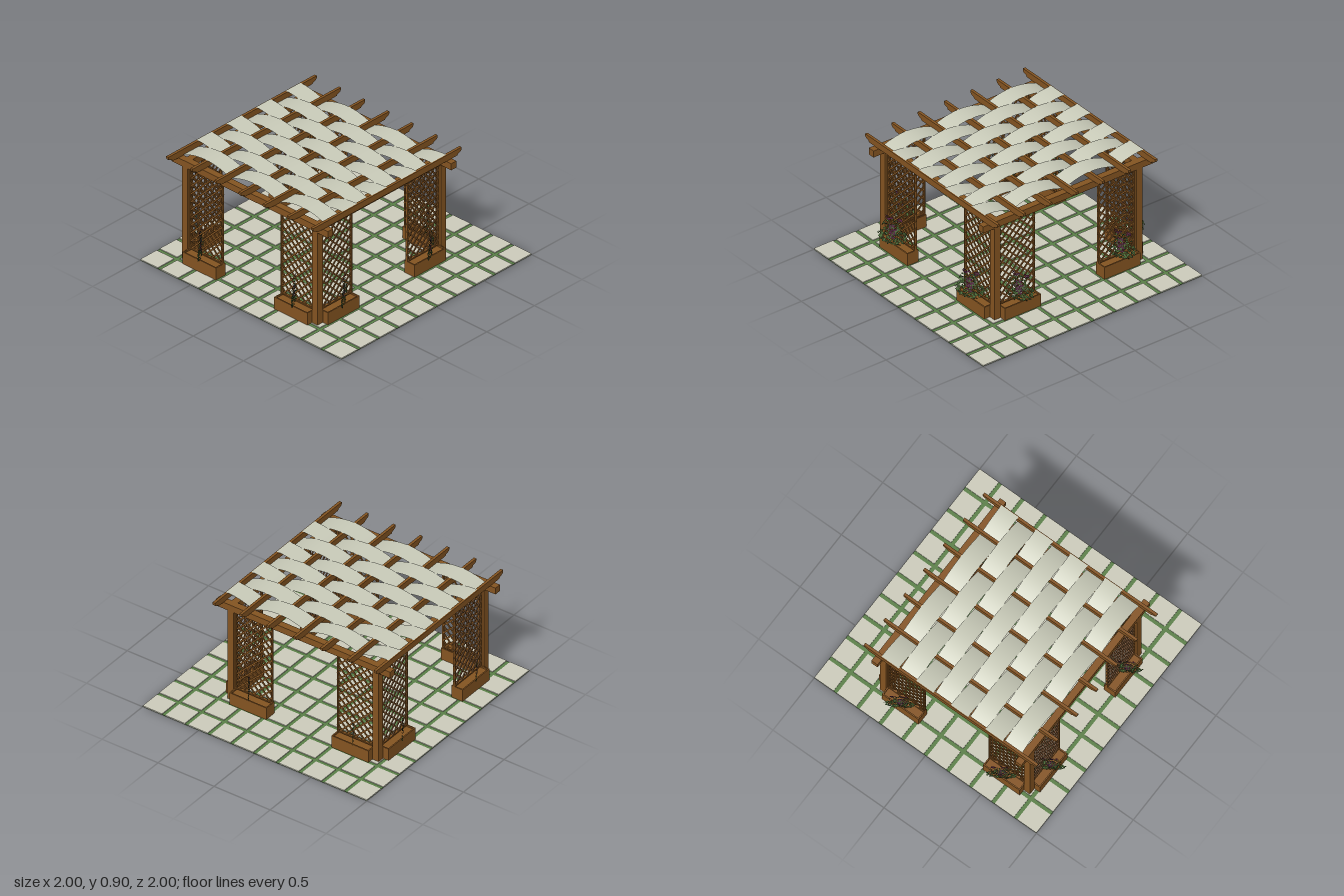
import * as THREE from 'three';
import { mergeGeometries } from 'three/addons/utils/BufferGeometryUtils.js';

const mat = (name, color, double) => {
  const m = new THREE.MeshStandardMaterial({ color });
  m.name = name;
  if (double) m.side = THREE.DoubleSide;
  return m;
};
const wood = mat('wood', 0x845421);
const stone = mat('paving stone', 0xcccbbb);
const grass = mat('grass', 0x5a7f47);
const cloth = mat('cloth', 0xc9cbb9, true);
const leafGreen = mat('leaf green', 0x55783f, true);
const darkGreen = mat('dark leaf green', 0x2f4424, true);
const purple = mat('flower purple', 0x5c2748, true);

const box = (w, h, d, x, y, z) => new THREE.BoxGeometry(w, h, d).translate(x, y, z);
const mesh = (name, geo, material) => {
  const m = new THREE.Mesh(geo, material);
  m.name = name;
  return m;
};

// Square paving on a thin lawn
function paving() {
  const g = new THREE.Group();
  g.name = 'paving';
  g.add(mesh('lawn', box(2, 0.004, 2, 0, 0.002, 0), grass));
  const tiles = [], size = 0.173, pitch = (2 - size) / 9;
  for (let i = 0; i < 10; i++)
    for (let j = 0; j < 10; j++)
      tiles.push(box(size, 0.008, size, -1 + size / 2 + i * pitch, 0.006, -1 + size / 2 + j * pitch));
  g.add(mesh('pavingStones', mergeGeometries(tiles), stone));
  return g;
}

// Diagonal lattice clipped to a rectangle, with a thin frame
function latticeGeometry(w, h) {
  const parts = [], pitch = 0.066, bar = 0.012;
  for (let c = -h + pitch / 2; c < w; c += pitch) {
    const x0 = Math.max(0, c), x1 = Math.min(w, h + c);
    const len = (x1 - x0) * Math.SQRT2;
    if (len < 0.015) continue;
    const mx = (x0 + x1) / 2 - w / 2, my = (x0 + x1) / 2 - c - h / 2;
    for (const s of [1, -1])
      parts.push(new THREE.BoxGeometry(len, bar, 0.007).rotateZ(s * Math.PI / 4).translate(s * mx, my, s * 0.0035));
  }
  for (const s of [1, -1]) {
    parts.push(box(0.01, h, 0.02, s * (w / 2 - 0.005), 0, 0));
    parts.push(box(w, 0.01, 0.02, 0, s * (h / 2 - 0.005), 0));
  }
  return mergeGeometries(parts);
}

// Planter box with a slightly sunken top
function planterGeometry() {
  const w = 0.33, d = 0.1, t = 0.01, parts = [box(w - 2 * t, 0.09, d - 2 * t, 0, 0.053, 0)];
  for (const s of [1, -1]) {
    parts.push(box(w, 0.102, t, 0, 0.059, s * (d - t) / 2));
    parts.push(box(t, 0.102, d - 2 * t, s * (w - t) / 2, 0.059, 0));
  }
  return mergeGeometries(parts);
}

// Rafter running along z, with scroll-cut ends
function rafterGeometry() {
  const half = [[0.70, 0.845], [0.735, 0.846], [0.742, 0.858], [0.758, 0.862], [0.772, 0.868], [0.78, 0.88], [0.78, 0.896]];
  const pts = [...half, ...half.map(([a, b]) => [-a, b]).reverse()];
  const s = new THREE.Shape(pts.map(([a, b]) => new THREE.Vector2(a, b)));
  return new THREE.ExtrudeGeometry(s, { depth: 0.022, bevelEnabled: false })
    .translate(0, 0, -0.011).rotateY(Math.PI / 2);
}

// Cloth strip arching over every second rafter
function clothGeometry(width, phase) {
  const g = new THREE.PlaneGeometry(1.45, width, 96, 1).rotateX(-Math.PI / 2);
  const p = g.attributes.position;
  for (let i = 0; i < p.count; i++) {
    const t = (p.getX(i) + 0.72) / 0.48 + phase;
    const u = 2 * (t - Math.round(t));
    p.setY(i, 0.844 + 0.055 * (1 - u * u));
  }
  g.computeVertexNormals();
  return g;
}

// Flat flowering plant made of small leaf blades
function plantParts() {
  let seed = 7;
  const rnd = () => (seed = (seed * 16807) % 2147483647) / 2147483647;
  const blades = (n, cx, cy, rx, ry, len, front) => {
    const out = [];
    for (let i = 0; i < n; i++) {
      const a = rnd() * Math.PI * 2, r = Math.sqrt(rnd());
      out.push(new THREE.CircleGeometry(len * (0.7 + 0.5 * rnd()), 4).scale(1, 0.5, 1)
        .rotateZ(rnd() * Math.PI)
        .translate(cx + rx * r * Math.cos(a), cy + ry * r * Math.sin(a), (rnd() - 0.5) * 0.006 * front));
    }
    return out;
  };
  const green = [...blades(130, 0, 0.19, 0.115, 0.075, 0.012, 1), ...blades(45, 0.01, 0.27, 0.075, 0.07, 0.011, 1)];
  const dark = [...blades(70, 0, 0.18, 0.11, 0.07, 0.012, 1), ...blades(25, 0, 0.27, 0.08, 0.07, 0.011, 1)];
  const bloom = [...blades(45, 0.005, 0.24, 0.04, 0.045, 0.012, 1.4), ...blades(20, 0.0, 0.19, 0.02, 0.03, 0.011, 1.4),
    ...blades(14, 0.03, 0.335, 0.03, 0.014, 0.011, 1.4), ...blades(9, -0.05, 0.325, 0.022, 0.014, 0.011, 1.4)];
  return [['leaves', green, leafGreen], ['shadedLeaves', dark, darkGreen], ['flowers', bloom, purple]]
    .map(([n, list, m]) => [n, mergeGeometries(list), m]);
}

export function createModel() {
  const model = new THREE.Group();
  model.name = 'gardenPergola';
  model.add(paving());

  const pergola = new THREE.Group();
  pergola.name = 'pergola';
  pergola.position.set(-0.115, 0, 0.11);
  model.add(pergola);

  // Corner posts and top beams
  const c = 0.6475, t = 0.055;
  for (const s of [1, -1]) {
    for (const r of [1, -1]) pergola.add(mesh('post', box(t, 0.782, t, s * c, 0.399, r * c), wood));
    pergola.add(mesh('crossBeam', box(1.556, t, t, 0, 0.8175, s * c), wood));
    pergola.add(mesh('sideBeam', box(t, t, 2 * c - t, s * c, 0.8175, 0), wood));
  }

  // Lattice panels and planters, two on each side
  const lattice = latticeGeometry(0.33, 0.68), planter = planterGeometry();
  for (let k = 0; k < 4; k++) {
    const side = new THREE.Group();
    side.name = 'trellisSide';
    side.rotation.y = k * Math.PI / 2;
    for (const s of [1, -1]) {
      const l = mesh('latticePanel', lattice, wood);
      l.position.set(s * 0.455, 0.45, c);
      const p = mesh('planter', planter, wood);
      p.position.set(s * 0.455, 0, 0.675);
      side.add(l, p);
    }
    pergola.add(side);
  }

  // Plants, all turned the same way
  const parts = plantParts();
  for (const s of [1, -1])
    for (const r of [1, -1])
      for (const [x, z] of [[s * 0.465, r * 0.70], [s * 0.73, r * 0.455]]) {
        const plant = new THREE.Group();
        plant.name = 'plant';
        plant.position.set(x, 0, z);
        plant.rotation.y = -57 * Math.PI / 180;
        for (const [n, g, m] of parts) plant.add(mesh(n, g, m));
        pergola.add(plant);
      }

  // Rafters
  const rafter = rafterGeometry();
  for (let i = -3; i <= 3; i++) {
    const m = mesh('rafter', rafter, wood);
    m.position.x = i * 0.24;
    pergola.add(m);
  }

  // Woven cloth strips
  const width = 0.156;
  for (let i = 0; i < 8; i++) {
    const m = mesh('clothStrip', clothGeometry(width, (i % 2) * 0.5), cloth);
    m.position.z = (i - 3.5) * width;
    pergola.add(m);
  }
  return model;
}
